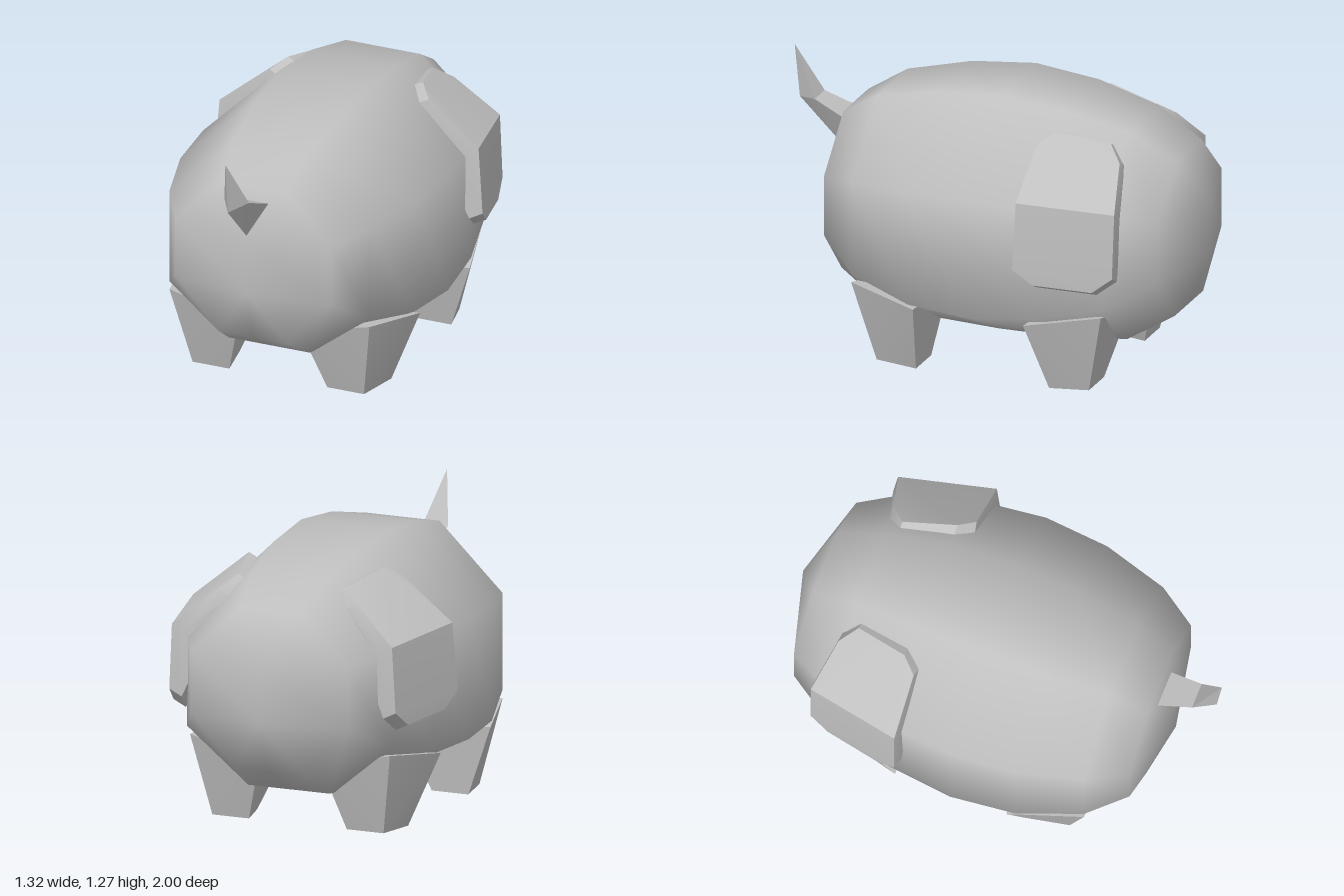
import * as THREE from 'three';
import { mergeVertices, toCreasedNormals } from 'three/addons/utils/BufferGeometryUtils.js';
import { ConvexGeometry } from 'three/addons/geometries/ConvexGeometry.js';

const grey = new THREE.MeshStandardMaterial({ color: 0xc0c0c0 });
grey.name = 'grey skin';

function part(name, geometry) {
  const mesh = new THREE.Mesh(geometry, grey);
  mesh.name = name;
  return mesh;
}

// solid hull of a few [x, y, z] corners, mirrored in x when side is -1
function hull(corners, side = 1, crease = 0.3) {
  const points = corners.map(([x, y, z]) => new THREE.Vector3(x * side, y, z));
  return toCreasedNormals(new ConvexGeometry(points), crease);
}

// body sections: z, top, top half width, shoulder y, half width, hip y, belly y, belly half width, keel y
const SECTIONS = [
  [-1.00, 0.82, 0.00, 0.82, 0.00, 0.55, 0.55, 0.00, 0.55],
  [-0.895, 1.04, 0.15, 0.82, 0.385, 0.54, 0.31, 0.17, 0.31],
  [-0.68, 1.16, 0.18, 0.86, 0.50, 0.42, 0.18, 0.20, 0.18],
  [-0.38, 1.23, 0.21, 0.88, 0.57, 0.36, 0.155, 0.22, 0.145],
  [-0.07, 1.26, 0.22, 0.89, 0.60, 0.335, 0.15, 0.22, 0.13],
  [0.23, 1.23, 0.21, 0.88, 0.575, 0.35, 0.16, 0.22, 0.15],
  [0.53, 1.16, 0.18, 0.86, 0.49, 0.42, 0.20, 0.20, 0.20],
  [0.705, 1.05, 0.15, 0.82, 0.38, 0.54, 0.31, 0.17, 0.31],
  [0.78, 0.82, 0.00, 0.82, 0.00, 0.55, 0.55, 0.00, 0.55],
];

function bodyGeometry() {
  const n = 9, positions = [], index = [];
  for (const [z, top, tw, shoulder, w, hip, belly, bw, keel] of SECTIONS) {
    const ring = [[w, shoulder], [tw, top], [-tw, top], [-w, shoulder], [-w, hip],
      [-bw, belly], [0, keel], [bw, belly], [w, hip]];
    for (const [x, y] of ring) positions.push(x, y, z);
  }
  for (let k = 0; k < SECTIONS.length - 1; k++) {
    for (let i = 0; i < n; i++) {
      const a = k * n + i, b = k * n + (i + 1) % n;
      index.push(a, b, b + n, a, b + n, a + n);
    }
  }
  const geometry = new THREE.BufferGeometry();
  geometry.setAttribute('position', new THREE.Float32BufferAttribute(positions, 3));
  geometry.setIndex(index);
  const merged = mergeVertices(geometry);
  merged.computeVertexNormals();
  return merged;
}

// folded ear flap, outer rim
const EAR_RIM = [
  [0.33, 1.17, -0.39], [0.39, 1.125, -0.322], [0.635, 0.93, -0.32], [0.658, 0.62, -0.312],
  [0.635, 0.55, -0.40], [0.575, 0.53, -0.66], [0.555, 0.60, -0.75], [0.54, 0.90, -0.755],
  [0.34, 1.07, -0.70], [0.27, 1.13, -0.63],
];

// tapered leg: outer end, outer middle, inner middle and inner end corners, top then foot
function legCorners(end, mid, topEnd, topMid) {
  return [
    [0.49, 0.38, topEnd], [0.585, 0.33, topMid], [0.15, 0.30, topMid], [0.15, 0.30, topEnd],
    [0.42, 0, end], [0.46, 0, mid], [0.28, 0, mid], [0.24, 0, end],
  ];
}

export function createModel() {
  const model = new THREE.Group();
  model.name = 'animal';
  model.add(part('body', bodyGeometry()));

  // ears and legs on both sides
  const earInner = EAR_RIM.map(([x, y, z]) => [x - 0.06, y - 0.03, z + (z > -0.35 ? 0.012 : 0)]);
  const frontLeg = legCorners(-0.585, -0.41, -0.67, -0.335);
  const backLeg = legCorners(0.435, 0.23, 0.53, 0.195);
  for (const [label, side] of [['left', 1], ['right', -1]]) {
    model.add(part(label + 'Ear', hull([...EAR_RIM, ...earInner], side, 0.6)));
    model.add(part(label + 'FrontLeg', hull(frontLeg, side, 0.5)));
    model.add(part(label + 'BackLeg', hull(backLeg, side, 0.5)));
  }

  // upturned tail: broad root and pointed tip
  const bend = [[0.06, 1.05, 0.88], [-0.06, 1.05, 0.88], [0, 1.03, 0.975]];
  const root = [[0.085, 0.985, 0.72], [-0.085, 0.985, 0.72], [0, 0.835, 0.775]];
  const tail = new THREE.Group();
  tail.name = 'tail';
  tail.add(part('tailRoot', hull([...root, ...bend])));
  tail.add(part('tailTip', hull([...bend, [0, 1.275, 1]])));
  model.add(tail);
  return model;
}
